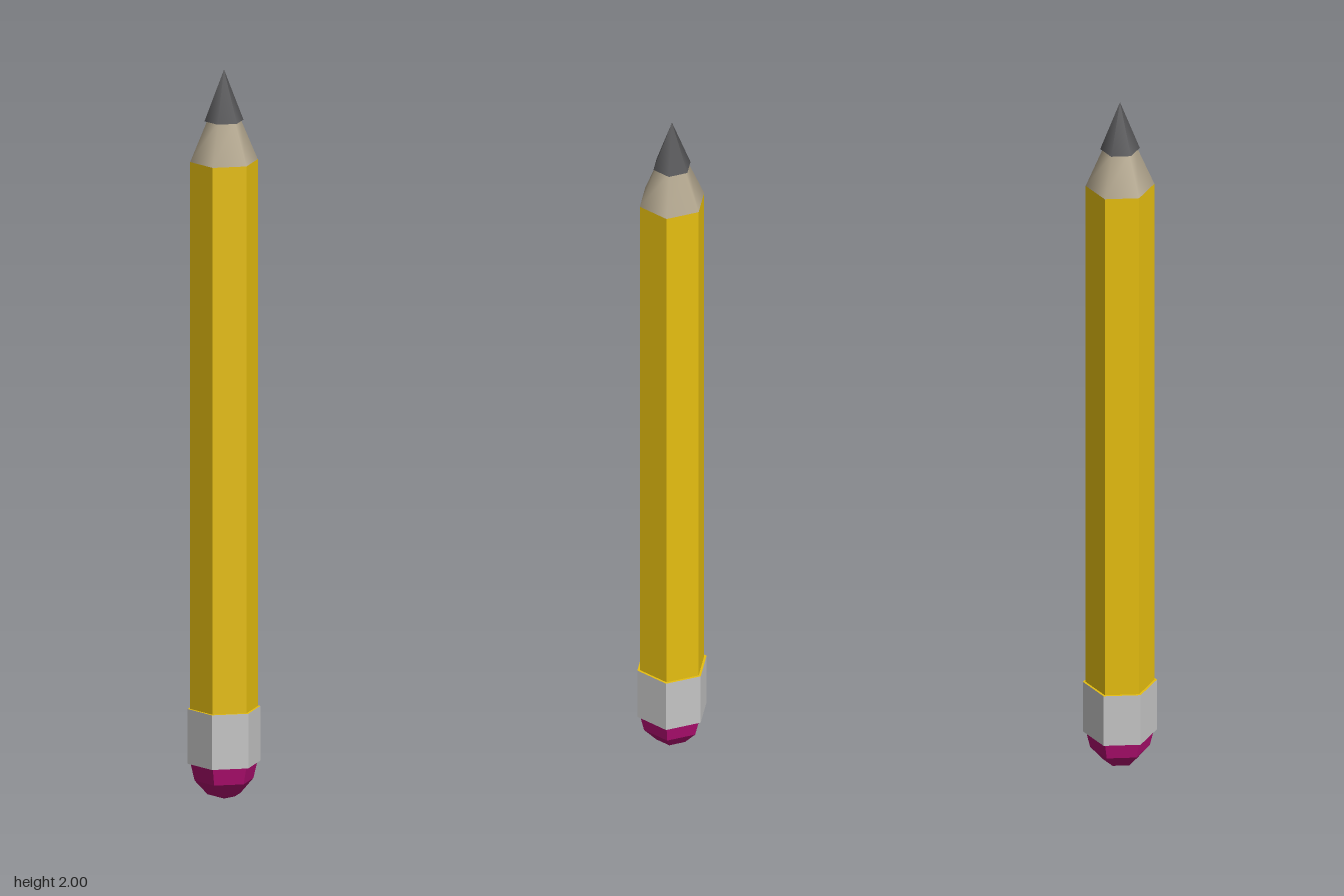
import * as THREE from 'three';

const SIDES = 6;

function material(name, color, flatShading = false) {
  const m = new THREE.MeshStandardMaterial({ color, flatShading });
  m.name = name;
  return m;
}

export function createModel() {
  const yellow = material('yellow paint', 0xe8c010, true);
  const silver = material('silver metal', 0xc6c6c6, true);
  const pink = material('pink rubber', 0xb60f74, true);
  const wood = material('bare wood', 0xb3a78f);
  const graphite = material('graphite', 0x58585a);

  const pencil = new THREE.Group();
  pencil.name = 'pencil';

  // Hexagonal section between two heights, corners on the x axis
  function section(name, y0, y1, r0, r1, mat) {
    const geometry = new THREE.CylinderGeometry(r1, r0, y1 - y0, SIDES, 1, false, Math.PI / 2);
    geometry.translate(0, (y0 + y1) / 2, 0);
    const mesh = new THREE.Mesh(geometry, mat);
    mesh.name = name;
    pencil.add(mesh);
  }

  section('body', 0.24, 1.75, 0.092, 0.092, yellow);
  // Metal band with a painted upper ledge
  section('ferrule', 0.1, 0.25, 0.099, 0.099, [silver, yellow, silver]);
  section('woodCone', 1.75, 1.865, 0.092, 0.044, wood);
  section('leadTip', 1.86, 2, 0.053, 0, graphite);

  // Rounded eraser, faceted like the body
  const profile = [[0, 0], [0.045, 0.014], [0.08, 0.053], [0.091, 0.1]]
    .map(([r, y]) => new THREE.Vector2(r, y));
  const eraser = new THREE.Mesh(new THREE.LatheGeometry(profile, SIDES, Math.PI / 2), pink);
  eraser.name = 'eraser';
  pencil.add(eraser);

  return pencil;
}
